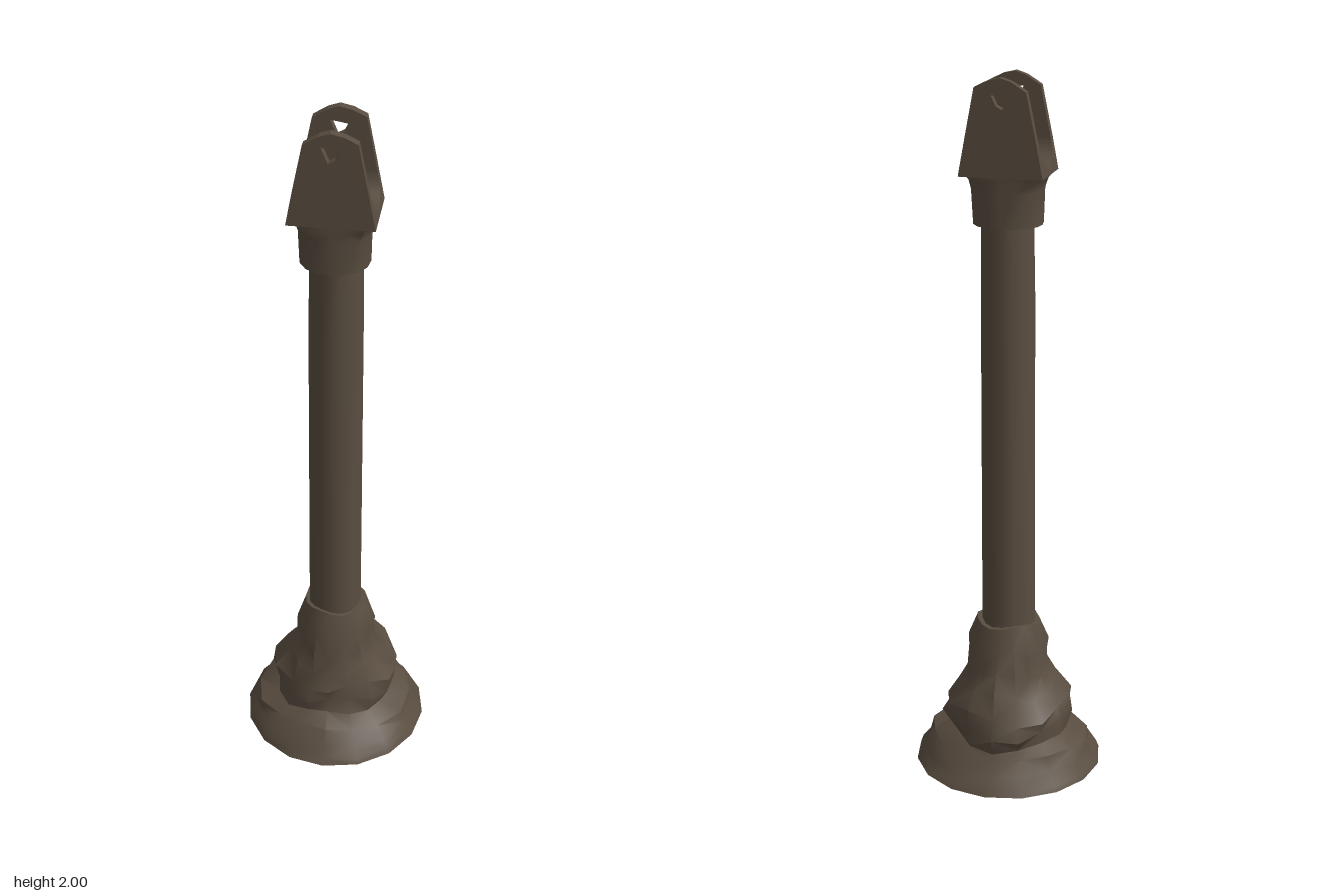
import * as THREE from 'three';
import { toCreasedNormals } from 'three/addons/utils/BufferGeometryUtils.js';

const SEGMENTS = 16;

// Loft closed rings; each row is [y, left, right, front, back, squareness, wobble]
function loft(rows) {
  const pos = [], index = [];
  rows.forEach(([y, left, right, front, back, p = 2, wobble = 0], i) => {
    for (let j = 0; j < SEGMENTS; j++) {
      const a = (j / SEGMENTS) * Math.PI * 2;
      const c = Math.cos(a), s = Math.sin(a);
      const rx = c > 0 ? right : left, rz = s > 0 ? front : back;
      let r = Math.pow(Math.pow(Math.abs(c) / rx, p) + Math.pow(Math.abs(s) / rz, p), -1 / p);
      r *= 1 + wobble * 0.05 * Math.sin(5 * a + i * 2.1);
      const dy = wobble * 0.02 * Math.sin(3 * a + i * 0.8);
      pos.push(r * c, y + dy, r * s);
    }
  });
  const ring = (i, j) => i * SEGMENTS + (j % SEGMENTS);
  const last = rows.length - 1;
  const bottom = pos.length / 3, top = bottom + 1;
  pos.push(0, rows[0][0], 0, 0, rows[last][0], 0);
  for (let j = 0; j < SEGMENTS; j++) {
    for (let i = 0; i < last; i++) {
      const a = ring(i, j), b = ring(i, j + 1), c = ring(i + 1, j), d = ring(i + 1, j + 1);
      if ((i + j) % 3 === 0) index.push(a, c, d, a, d, b);
      else index.push(a, c, b, b, c, d);
    }
    index.push(bottom, ring(0, j), ring(0, j + 1));
    index.push(top, ring(last, j + 1), ring(last, j));
  }
  const geo = new THREE.BufferGeometry();
  geo.setAttribute('position', new THREE.Float32BufferAttribute(pos, 3));
  geo.setIndex(index);
  return toCreasedNormals(geo, 0.7);
}

export function createModel() {
  const group = new THREE.Group();
  const bark = new THREE.MeshStandardMaterial({ color: 0x594d40 });
  bark.name = 'dark brown';
  const add = (name, geometry) => {
    const mesh = new THREE.Mesh(geometry, bark);
    mesh.name = name;
    group.add(mesh);
    return mesh;
  };

  // Crumpled mound with a thin flared rim
  add('base', loft([
    [0.004, 0.272, 0.272, 0.272, 0.272],
    [0.022, 0.265, 0.262, 0.262, 0.26, 2, 0.2],
    [0.045, 0.245, 0.245, 0.24, 0.238, 2, 0.4],
    [0.085, 0.235, 0.23, 0.205, 0.205, 2, 0.6],
    [0.11, 0.18, 0.165, 0.165, 0.185, 2, 0.7],
    [0.155, 0.185, 0.188, 0.158, 0.198, 2, 0.9],
    [0.2, 0.185, 0.185, 0.152, 0.188, 2, 1],
    [0.255, 0.14, 0.14, 0.132, 0.16, 2, 1],
    [0.305, 0.112, 0.115, 0.122, 0.135, 2, 1],
    [0.37, 0.115, 0.12, 0.112, 0.115, 2, 0.7],
    [0.445, 0.09, 0.09, 0.085, 0.09, 2, 0.3],
  ]));

  // Long straight post, slightly slimmer at its top
  add('post', loft([
    [0.35, 0.078, 0.076, 0.077, 0.077],
    [1.4, 0.073, 0.076, 0.077, 0.077],
    [1.64, 0.068, 0.074, 0.076, 0.076],
  ]));

  // Collar turning from round to square below the fork
  add('collar', loft([
    [1.605, 0.094, 0.094, 0.09, 0.09, 2.3],
    [1.7, 0.094, 0.096, 0.09, 0.09, 3],
    [1.725, 0.1, 0.1, 0.09, 0.09, 5],
    [1.745, 0.115, 0.115, 0.09, 0.09, 9],
  ]));

  // Saddle: U-shaped trough running from side to side
  const springY = 1.825;
  const trough = new THREE.Shape();
  trough.moveTo(-0.09, 1.74);
  trough.lineTo(0.09, 1.74);
  trough.lineTo(0.09, springY);
  trough.lineTo(0.067, springY);
  trough.absarc(0, springY, 0.067, 0, -Math.PI, true);
  trough.lineTo(-0.09, springY);
  const saddle = new THREE.ExtrudeGeometry(trough, { depth: 2, bevelEnabled: false, curveSegments: 10 });
  saddle.translate(0, 0, -1).rotateY(Math.PI / 2);
  const p = saddle.attributes.position;
  for (let i = 0; i < p.count; i++) {
    const half = 0.115 - (p.getY(i) - 1.74) * 0.19;
    p.setX(i, Math.sign(p.getX(i)) * half);
  }
  add('saddle', toCreasedNormals(saddle, 0.7));

  // Two tapered prongs, each with a small pierced hole
  const outline = new THREE.Shape([
    [-0.099, springY], [0.099, springY], [0.07, 1.975], [0.035, 1.992],
    [0, 2], [-0.03, 1.99], [-0.07, 1.965],
  ].map(([x, y]) => new THREE.Vector2(x, y)));
  outline.holes.push(new THREE.Path([
    [-0.024, 1.962], [0.024, 1.954], [0.012, 1.928], [-0.006, 1.918],
  ].map(([x, y]) => new THREE.Vector2(x, y))));
  for (const side of [1, -1]) {
    const prong = new THREE.ExtrudeGeometry(outline, { depth: 0.023, bevelEnabled: false });
    prong.translate(0, 0, side > 0 ? 0.067 : -0.09);
    add(side > 0 ? 'frontProng' : 'backProng', prong);
  }
  return group;
}
